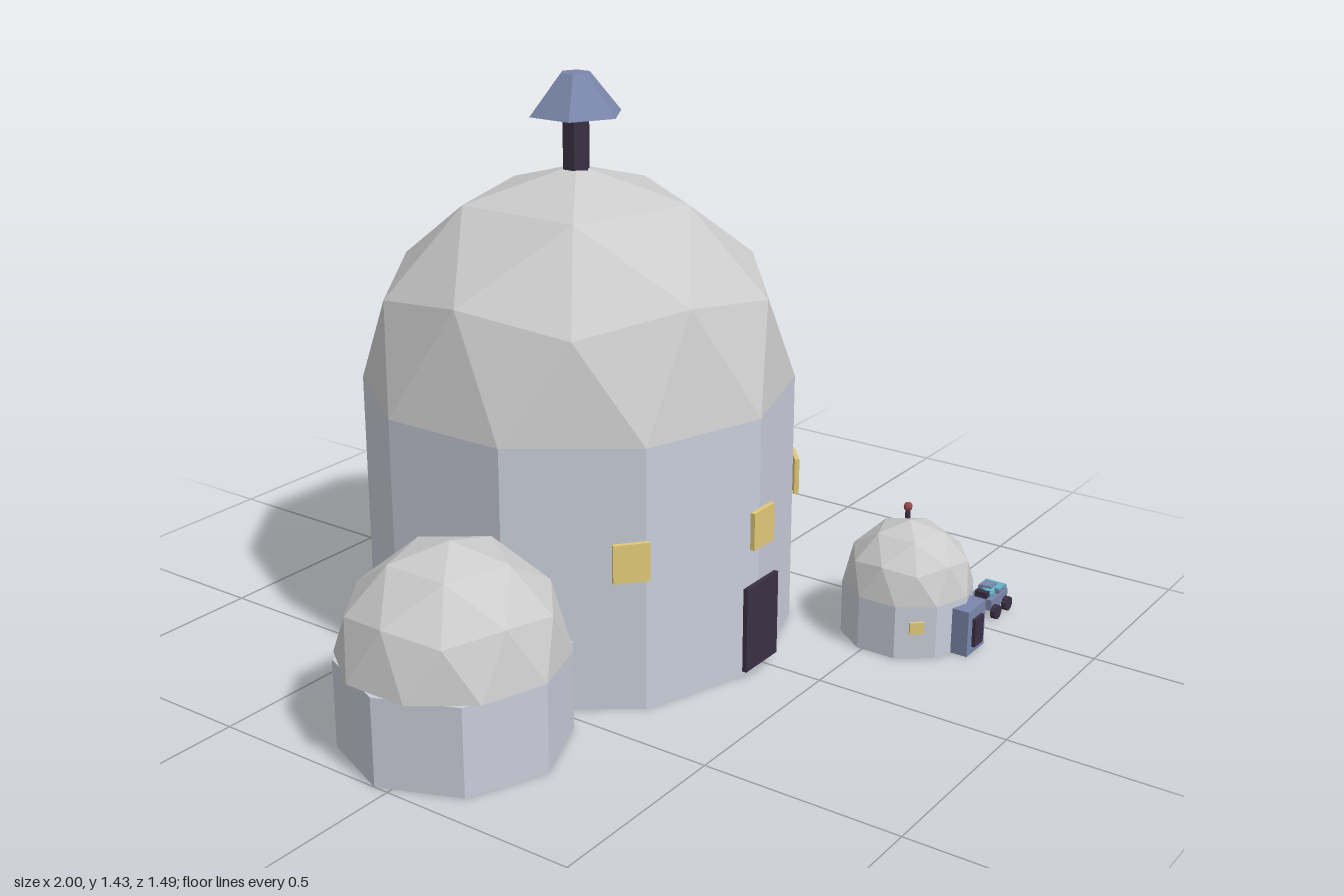
import * as THREE from 'three';

const mat = (color, opts = {}) => new THREE.MeshStandardMaterial({ color, flatShading: true, ...opts });
const M = {
  dome: mat(0xcccccc, { side: THREE.DoubleSide }),
  wall: mat(0xc8ccd8),
  metal: mat(0x7a86aa),
  dark: mat(0x3a3044),
  glow: mat(0xe0c878),
  red: mat(0x96484c),
  cyan: mat(0x62b4cc),
};

function add(parent, name, geometry, material, x = 0, y = 0, z = 0) {
  const mesh = new THREE.Mesh(geometry, material);
  mesh.name = name;
  mesh.position.set(x, y, z);
  parent.add(mesh);
  return mesh;
}

const box = (w, h, d) => new THREE.BoxGeometry(w, h, d);
const cyl = (rTop, rBottom, h, sides) => new THREE.CylinderGeometry(rTop, rBottom, h, sides);

// Upper half of a once-subdivided icosahedron standing on a corner
function halfIcosphere(radius) {
  const ico = new THREE.IcosahedronGeometry(radius, 1);
  ico.rotateZ(-Math.atan(2 / (1 + Math.sqrt(5))));
  const p = ico.attributes.position;
  const kept = [];
  for (let i = 0; i < p.count; i += 3) {
    if (p.getY(i) + p.getY(i + 1) + p.getY(i + 2) < 0) continue;
    for (let k = i; k < i + 3; k++) kept.push(p.getX(k), p.getY(k), p.getZ(k));
  }
  const geometry = new THREE.BufferGeometry();
  geometry.setAttribute('position', new THREE.Float32BufferAttribute(kept, 3));
  geometry.computeVertexNormals();
  return geometry;
}

// Straight faceted wall with a faceted dome on top
function domedBuilding(name, x, z, radius, wallHeight, sides) {
  const g = new THREE.Group();
  g.name = name;
  g.position.set(x, 0, z);
  add(g, 'wall', cyl(radius, radius, wallHeight, sides), M.wall, 0, wallHeight / 2, 0);
  add(g, 'dome', halfIcosphere(radius), M.dome, 0, wallHeight, 0);
  return g;
}

// Small buggy parked beside the hut, its nose towards +x
function buggy() {
  const g = new THREE.Group();
  g.name = 'buggy';
  g.position.set(0.597, 0, 0.656);
  add(g, 'chassis', box(0.094, 0.03, 0.066), M.metal, 0.003, 0.038, 0);
  add(g, 'hood', box(0.045, 0.012, 0.06), M.metal, 0.026, 0.058, 0);
  add(g, 'hoodPanel', box(0.04, 0.003, 0.056), M.cyan, 0.026, 0.0655, 0);
  add(g, 'seat', box(0.018, 0.018, 0.034), M.dark, -0.034, 0.06, 0);
  add(g, 'canopy', new THREE.SphereGeometry(0.019, 8, 6), M.cyan, -0.012, 0.06, 0.006);
  add(g, 'roofBar', box(0.036, 0.005, 0.032), M.metal, -0.012, 0.081, 0.006);
  for (const x of [-0.031, 0.033]) {
    for (const z of [-0.04, 0.04]) {
      add(g, 'wheel', cyl(0.019, 0.019, 0.015, 10), M.dark, x, 0.019, z).rotation.x = Math.PI / 2;
    }
  }
  return g;
}

export function createModel() {
  const model = new THREE.Group();
  model.name = 'domedSettlement';

  // Main hall
  const hall = domedBuilding('mainHall', -0.043, -0.2, 0.545, 0.66, 10);
  add(hall, 'door', box(0.138, 0.22, 0.012), M.dark, 0, 0.135, 0.553);
  for (const a of [-0.7, 0, 0.7]) {
    const w = add(hall, 'window', box(0.088, 0.096, 0.012), M.glow, 0.554 * Math.sin(a), 0.387, 0.554 * Math.cos(a));
    w.rotation.y = a;
  }
  add(hall, 'chimneyPipe', cyl(0.035, 0.035, 0.17, 6), M.dark, 0, 1.255, 0);
  add(hall, 'chimneyCap', cyl(0.038, 0.12, 0.1, 6), M.metal, 0, 1.379, 0);

  // Side halls
  const right = domedBuilding('rightHall', -0.727, -0.038, 0.273, 0.22, 8);
  const left = domedBuilding('leftHall', 0.698, -0.392, 0.302, 0.22, 8);

  // Front hut
  const hut = domedBuilding('hut', 0.368, 0.538, 0.168, 0.14, 10);
  add(hut, 'porch', box(0.094, 0.122, 0.08), M.metal, 0, 0.061, 0.158);
  add(hut, 'porchDoor', box(0.046, 0.075, 0.01), M.dark, 0, 0.057, 0.202);
  for (const s of [-1, 1]) {
    add(hut, 'hutWindow', box(0.036, 0.032, 0.008), M.glow, s * 0.143, 0.091, 0.104).rotation.y = s * 0.8;
  }
  add(hut, 'antenna', cyl(0.007, 0.009, 0.05, 6), M.dark, 0.053, 0.288, -0.036);
  add(hut, 'beacon', new THREE.SphereGeometry(0.012, 8, 6), M.red, 0.053, 0.318, -0.036);

  model.add(hall, right, left, hut, buggy());
  return model;
}
